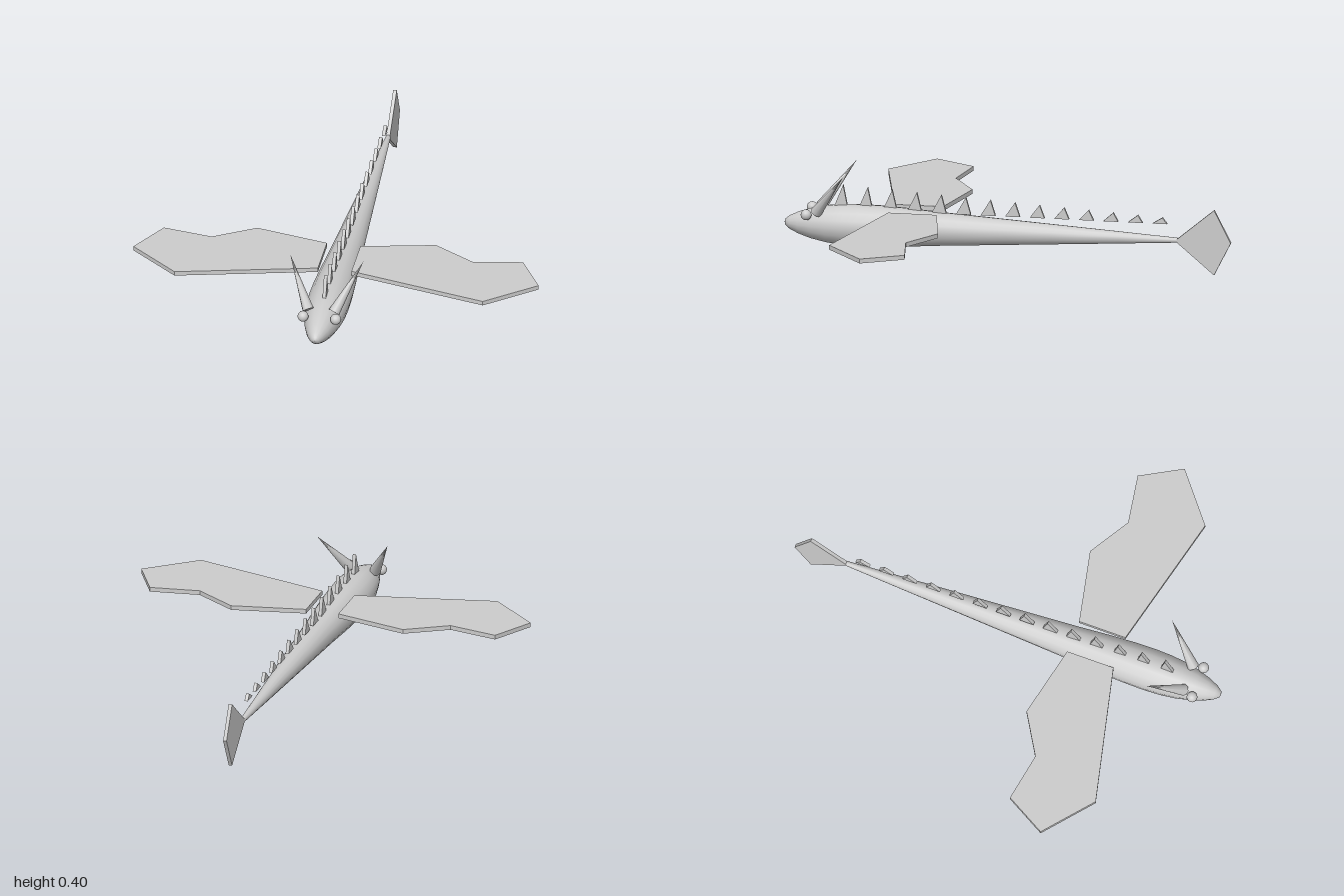
import * as THREE from 'three';

const material = new THREE.MeshStandardMaterial({ color: 0xcccccc });
const AXIS_Y = 0.15;

function part(name, geometry) {
  const mesh = new THREE.Mesh(geometry, material);
  mesh.name = name;
  return mesh;
}

// Flat plate cut from an outline, centred on its thickness
function plate(points, depth) {
  const shape = new THREE.Shape(points.map(([a, b]) => new THREE.Vector2(a, b)));
  return new THREE.ExtrudeGeometry(shape, { depth, bevelEnabled: false }).translate(0, 0, -depth / 2);
}

// Upright plate on the centre line, from [z, y] points
function finPlate(points, depth) {
  return plate(points.map(([z, y]) => [-z, y]), depth).rotateY(Math.PI / 2);
}

export function createModel() {
  const model = new THREE.Group();
  model.name = 'wingedSerpent';

  // Body: tapering spindle, [radius, z] from tail to nose
  const profile = [
    [0, -0.76], [0.011, -0.76], [0.027, -0.5], [0.045, -0.2], [0.057, 0], [0.075, 0.3],
    [0.086, 0.45], [0.092, 0.56], [0.094, 0.66], [0.091, 0.74], [0.083, 0.81],
    [0.068, 0.88], [0.05, 0.935], [0.031, 0.975], [0.015, 0.995], [0, 1],
  ].map(([r, z]) => new THREE.Vector2(r, z));
  const body = part('body', new THREE.LatheGeometry(profile, 16).rotateX(Math.PI / 2));
  body.position.y = AXIS_Y;
  model.add(body);

  // Tail fin
  model.add(part('tailFin', finPlate([[-0.75, 0.148], [-0.925, 0.294], [-1, 0.148], [-0.925, 0]], 0.016)));

  // Row of back spines, shrinking towards the tail
  const spines = new THREE.Group();
  spines.name = 'backSpines';
  for (let i = 0; i < 14; i++) {
    const z = 0.737 - i * 0.11;
    const top = 0.33 - i * 0.0062;
    spines.add(part('spine', finPlate([[z + 0.044, 0.222], [z, top], [z - 0.022, 0.222]], 0.015)));
  }
  model.add(spines);

  // Wing outline, [x, z]
  const wing = [[0.075, 0.305], [0.4, 0.235], [0.584, 0.345], [0.804, 0.308],
    [0.907, 0.49], [0.69, 0.668], [0.075, 0.522]];

  for (const [side, s] of [['left', 1], ['right', -1]]) {
    const wingMesh = part(side + 'Wing', plate(wing.map(([x, z]) => [s * x, -z]), 0.02).rotateX(-Math.PI / 2));
    wingMesh.position.y = 0.222;
    model.add(wingMesh);

    // Eye
    const eye = part(side + 'Eye', new THREE.SphereGeometry(0.024, 16, 12));
    eye.position.set(s * 0.073, 0.204, 0.89);
    model.add(eye);

    // Horn swept up, out and back
    const base = new THREE.Vector3(s * 0.058, 0.214, 0.847);
    const tip = new THREE.Vector3(s * 0.164, 0.404, 0.708);
    const dir = tip.clone().sub(base);
    const horn = part(side + 'Horn', new THREE.ConeGeometry(0.026, dir.length(), 8));
    horn.position.copy(base).add(tip).multiplyScalar(0.5);
    horn.quaternion.setFromUnitVectors(new THREE.Vector3(0, 1, 0), dir.normalize());
    model.add(horn);
  }

  return model;
}
